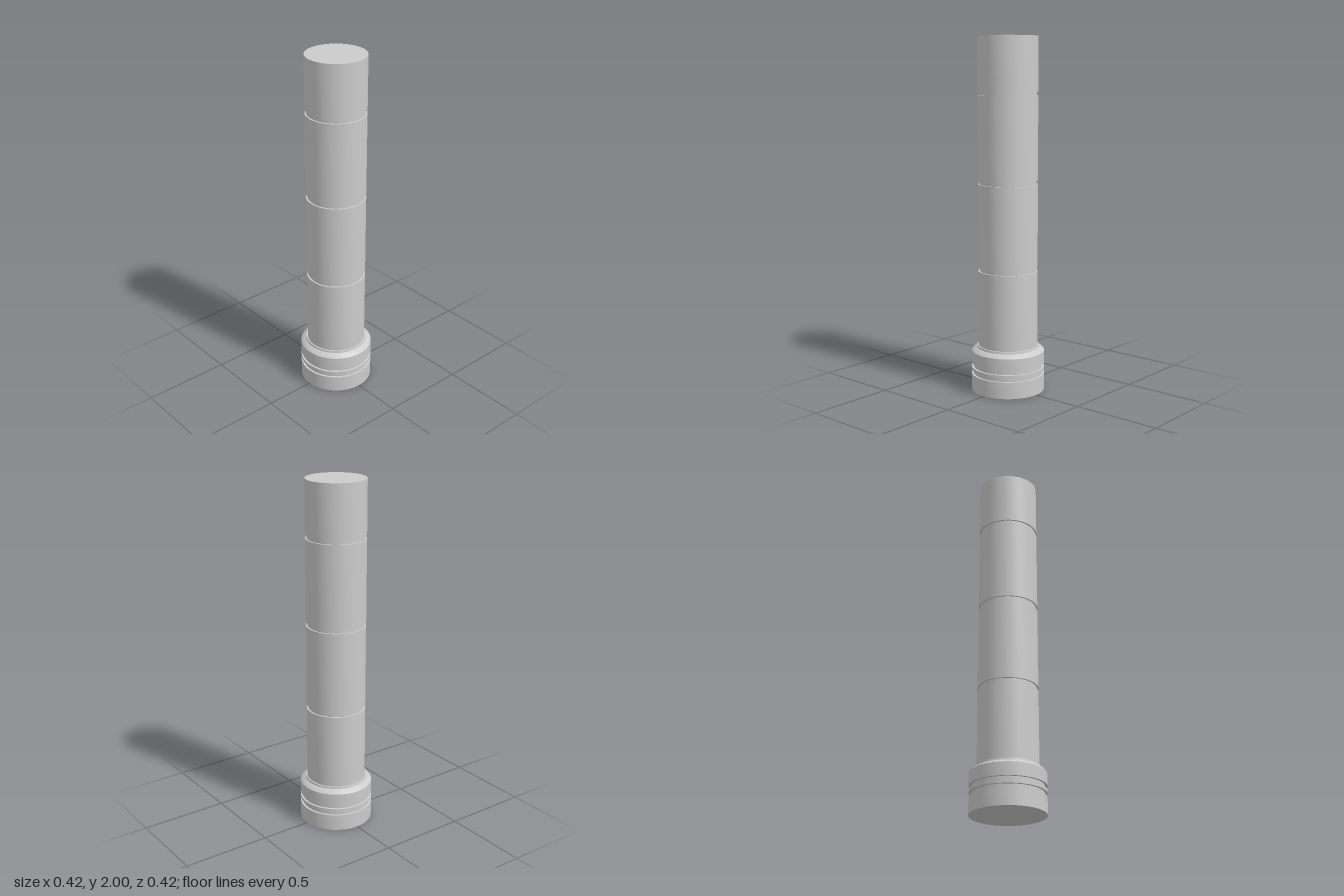
import * as THREE from 'three';
import { toCreasedNormals } from 'three/addons/utils/BufferGeometryUtils.js';

const SEGMENTS = 40;
const material = new THREE.MeshStandardMaterial({ color: 0xcccccc });

// Solid of revolution with crisp edges, profile listed from bottom to top
function turned(name, profile) {
  const points = profile.map(([r, y]) => new THREE.Vector2(r, y));
  const geometry = toCreasedNormals(new THREE.LatheGeometry(points, SEGMENTS), 0.4);
  const mesh = new THREE.Mesh(geometry, material);
  mesh.name = name;
  return mesh;
}

// Square-cut grooves: each entry is [bottom, top]
function grooves(outer, inner, bands) {
  return bands.flatMap(([y0, y1]) => [[outer, y0], [inner, y0], [inner, y1], [outer, y1]]);
}

export function createModel() {
  const group = new THREE.Group();
  group.name = 'groovedShaft';

  // Wide base with two grooves, a chamfer and a small collar
  const baseR = 0.208;
  group.add(turned('base', [
    [0, 0], [baseR, 0],
    ...grooves(baseR, 0.196, [[0.095, 0.116], [0.135, 0.156]]),
    [baseR, 0.229], [0.201, 0.237], [0.178, 0.249],
    [0.176, 0.26], [0.16, 0.26],
  ]));

  // Long shaft with three evenly spaced grooves
  const shaftR = 0.168;
  group.add(turned('shaft', [
    [shaftR, 0.25],
    ...grooves(shaftR, 0.159, [0.69, 1.183, 1.676].map((y) => [y, y + 0.022])),
    [shaftR, 2], [0, 2],
  ]));

  return group;
}
